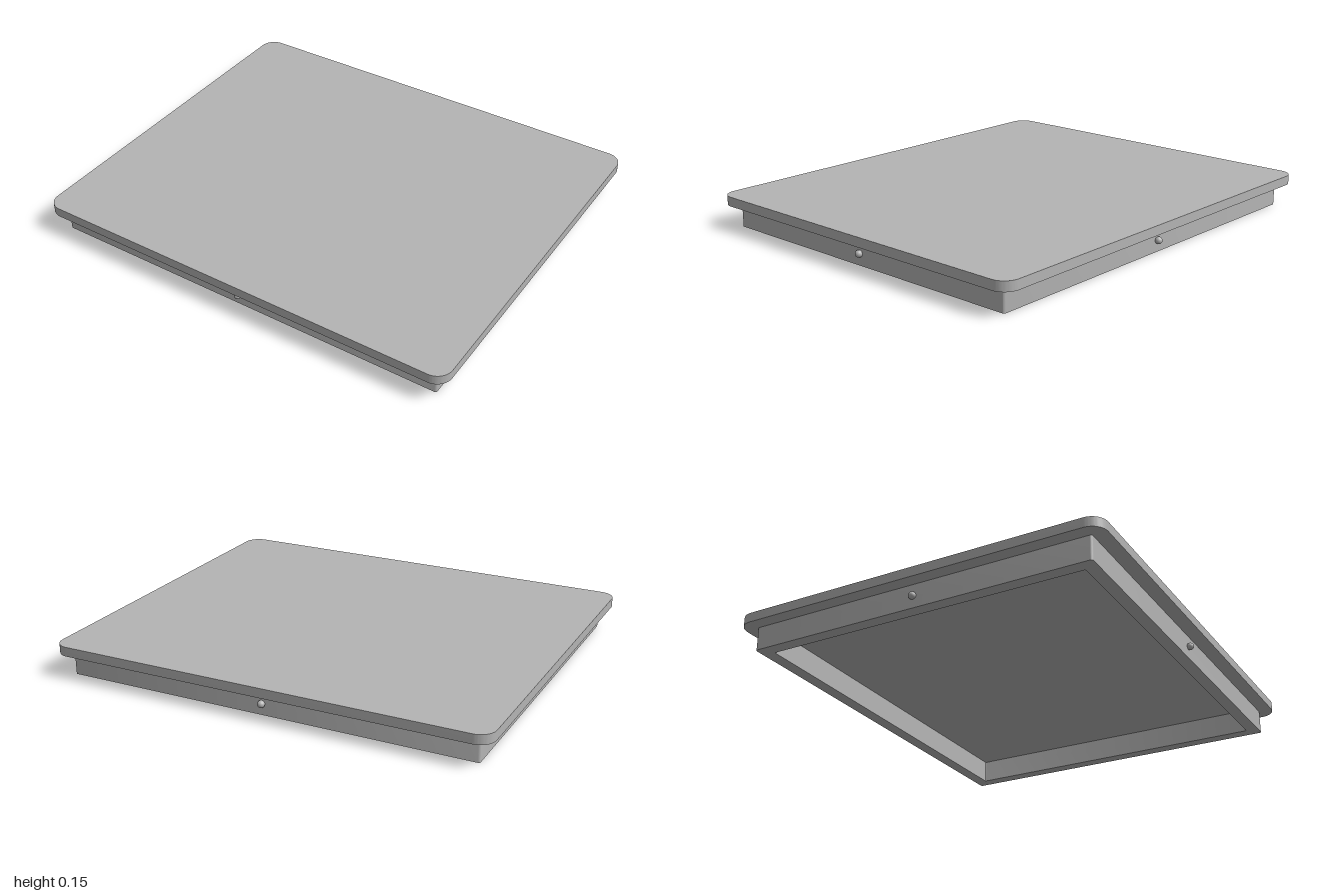
import * as THREE from 'three';
import { toCreasedNormals } from 'three/addons/utils/BufferGeometryUtils.js';

// Traces a rounded rectangle with half sizes w, d and corner radius r
function roundedRect(path, w, d, r) {
  path.moveTo(w, -d + r);
  path.lineTo(w, d - r);
  path.absarc(w - r, d - r, r, 0, Math.PI / 2);
  path.lineTo(-w + r, d);
  path.absarc(-w + r, d - r, r, Math.PI / 2, Math.PI);
  path.lineTo(-w, -d + r);
  path.absarc(-w + r, -d + r, r, Math.PI, Math.PI * 1.5);
  path.lineTo(w - r, -d);
  path.absarc(w - r, -d + r, r, Math.PI * 1.5, Math.PI * 2);
  return path;
}

// Extrudes a flat shape upwards from height y
function slab(shape, y, height) {
  const geo = new THREE.ExtrudeGeometry(shape, { depth: height, bevelEnabled: false, curveSegments: 10 });
  geo.rotateX(-Math.PI / 2).translate(0, y, 0);
  return toCreasedNormals(geo, Math.PI / 6);
}

export function createModel() {
  const group = new THREE.Group();
  const grey = new THREE.MeshStandardMaterial({ color: 0xb4b4b4 });
  grey.name = 'light grey';

  const add = (name, geometry) => {
    const mesh = new THREE.Mesh(geometry, grey);
    mesh.name = name;
    group.add(mesh);
    return mesh;
  };

  const rimHeight = 0.106, topHeight = 0.043;
  const rimX = 0.94, rimZ = 0.787, wall = 0.057;

  // Overhanging top plate with rounded corners
  add('topPlate', slab(roundedRect(new THREE.Shape(), 1, 0.85, 0.07), rimHeight, topHeight));

  // Hollow skirt below the plate
  const skirt = roundedRect(new THREE.Shape(), rimX, rimZ, 0.01);
  skirt.holes.push(roundedRect(new THREE.Path(), rimX - wall, rimZ - wall, 0.005));
  add('skirt', slab(skirt, 0, rimHeight));

  // One small round catch in the middle of each side
  const bump = new THREE.SphereGeometry(0.016, 20, 14);
  for (const s of [-1, 1]) {
    add(s > 0 ? 'leftCatch' : 'rightCatch', bump).position.set(s * 0.947, 0.053, 0);
    add(s > 0 ? 'frontCatch' : 'backCatch', bump).position.set(0, 0.053, s * 0.797);
  }
  return group;
}
